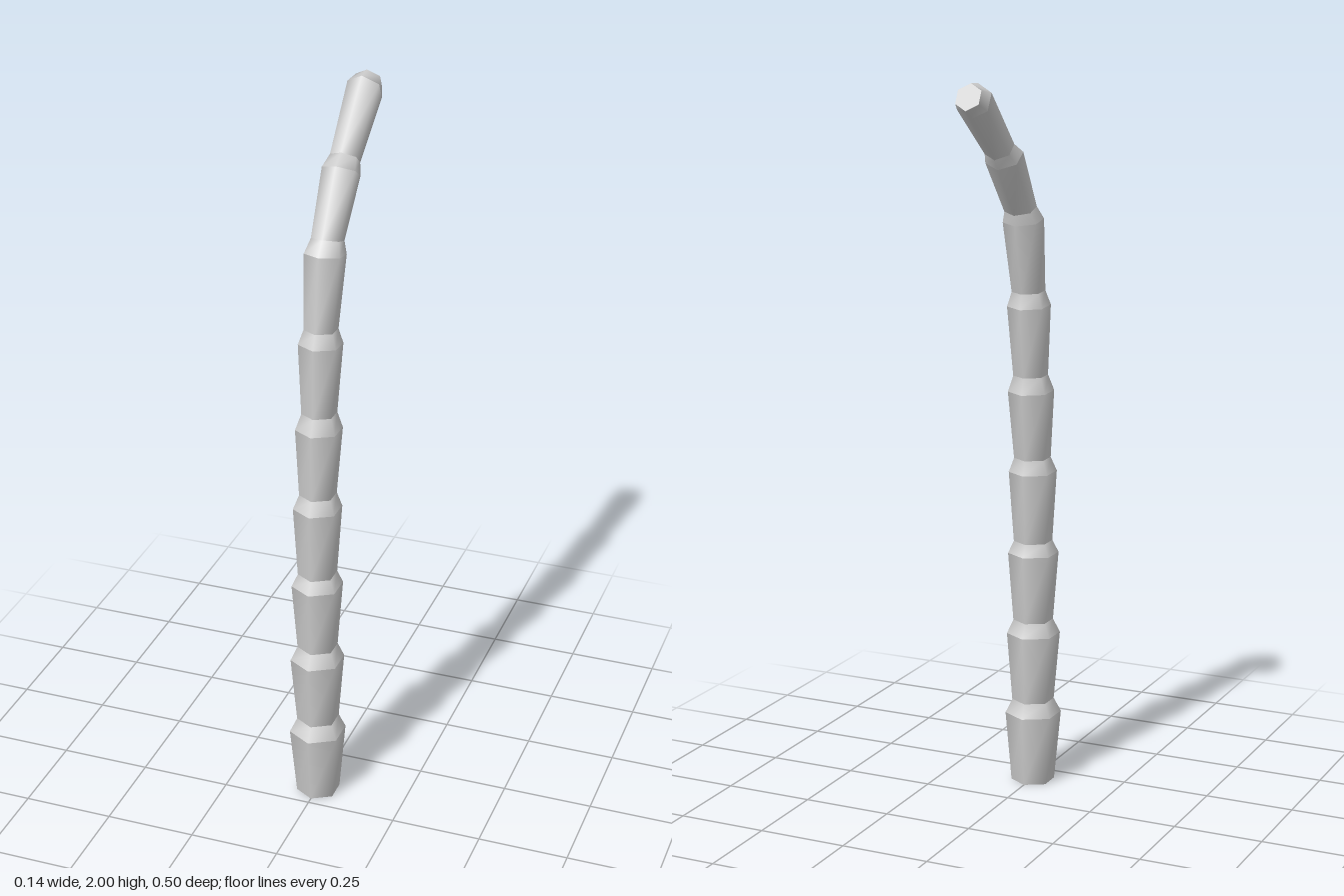
import * as THREE from 'three';

const SIDES = 6;

// Rings of the stalk: [z, y, radius, backward tilt in degrees]
const RINGS = [
  [0.17, 0, 0.061, 0],
  [0.172, 0.2, 0.079, 0], [0.17, 0.24, 0.059, 0],
  [0.172, 0.435, 0.075, 0], [0.17, 0.475, 0.056, 0],
  [0.17, 0.67, 0.071, 0], [0.168, 0.705, 0.054, 0],
  [0.165, 0.905, 0.067, 1], [0.162, 0.945, 0.051, 1],
  [0.152, 1.135, 0.064, 2], [0.149, 1.18, 0.048, 2],
  [0.137, 1.375, 0.06, 4], [0.134, 1.415, 0.046, 4],
  [0.1, 1.612, 0.056, 10], [0.082, 1.645, 0.044, 18],
  [-0.02, 1.793, 0.052, 34], [-0.05, 1.818, 0.041, 40],
  [-0.2, 1.954, 0.05, 62], [-0.235, 1.967, 0.038, 64],
];

// Point on a tilted ring; corner 0 points forward
function ringPoint([z, y, r, tilt], i) {
  const a = (i / SIDES) * Math.PI * 2;
  const t = THREE.MathUtils.degToRad(tilt);
  const f = Math.cos(a) * r;
  return [Math.sin(a) * r, y + f * Math.sin(t), z + f * Math.cos(t)];
}

// Band between two rings, smooth around and creased at both ends
function band(lower, upper) {
  const g = new THREE.CylinderGeometry(1, 1, 1, SIDES, 1, true);
  const pos = g.attributes.position;
  for (let i = 0; i <= SIDES; i++) {
    pos.setXYZ(i, ...ringPoint(upper, i % SIDES));
    pos.setXYZ(i + SIDES + 1, ...ringPoint(lower, i % SIDES));
  }
  g.computeVertexNormals();
  // Join the normals across the seam
  const n = g.attributes.normal;
  for (const s of [0, SIDES + 1]) {
    const v = new THREE.Vector3().fromBufferAttribute(n, s)
      .add(new THREE.Vector3().fromBufferAttribute(n, s + SIDES)).normalize();
    n.setXYZ(s, v.x, v.y, v.z);
    n.setXYZ(s + SIDES, v.x, v.y, v.z);
  }
  return g;
}

// Flat hexagonal end
function cap(ring, up) {
  const g = new THREE.CircleGeometry(1, SIDES);
  const pos = g.attributes.position;
  pos.setXYZ(0, 0, ring[1], ring[0]);
  for (let i = 0; i <= SIDES; i++) {
    pos.setXYZ(i + 1, ...ringPoint(ring, up ? i : SIDES - i));
  }
  g.computeVertexNormals();
  return g;
}

export function createModel() {
  const model = new THREE.Group();
  model.name = 'segmentedTrunk';
  const material = new THREE.MeshStandardMaterial({ color: 0xcccccc });
  const add = (geometry, name) => {
    const mesh = new THREE.Mesh(geometry, material);
    mesh.name = name;
    model.add(mesh);
  };

  // Long flaring segments alternate with short collars
  for (let i = 0; i < RINGS.length - 1; i++) {
    const kind = i % 2 ? 'collar' : 'trunkSegment';
    add(band(RINGS[i], RINGS[i + 1]), kind + (Math.floor(i / 2) + 1));
  }
  add(cap(RINGS[0], false), 'baseCap');
  add(cap(RINGS[RINGS.length - 1], true), 'tipCap');
  return model;
}
